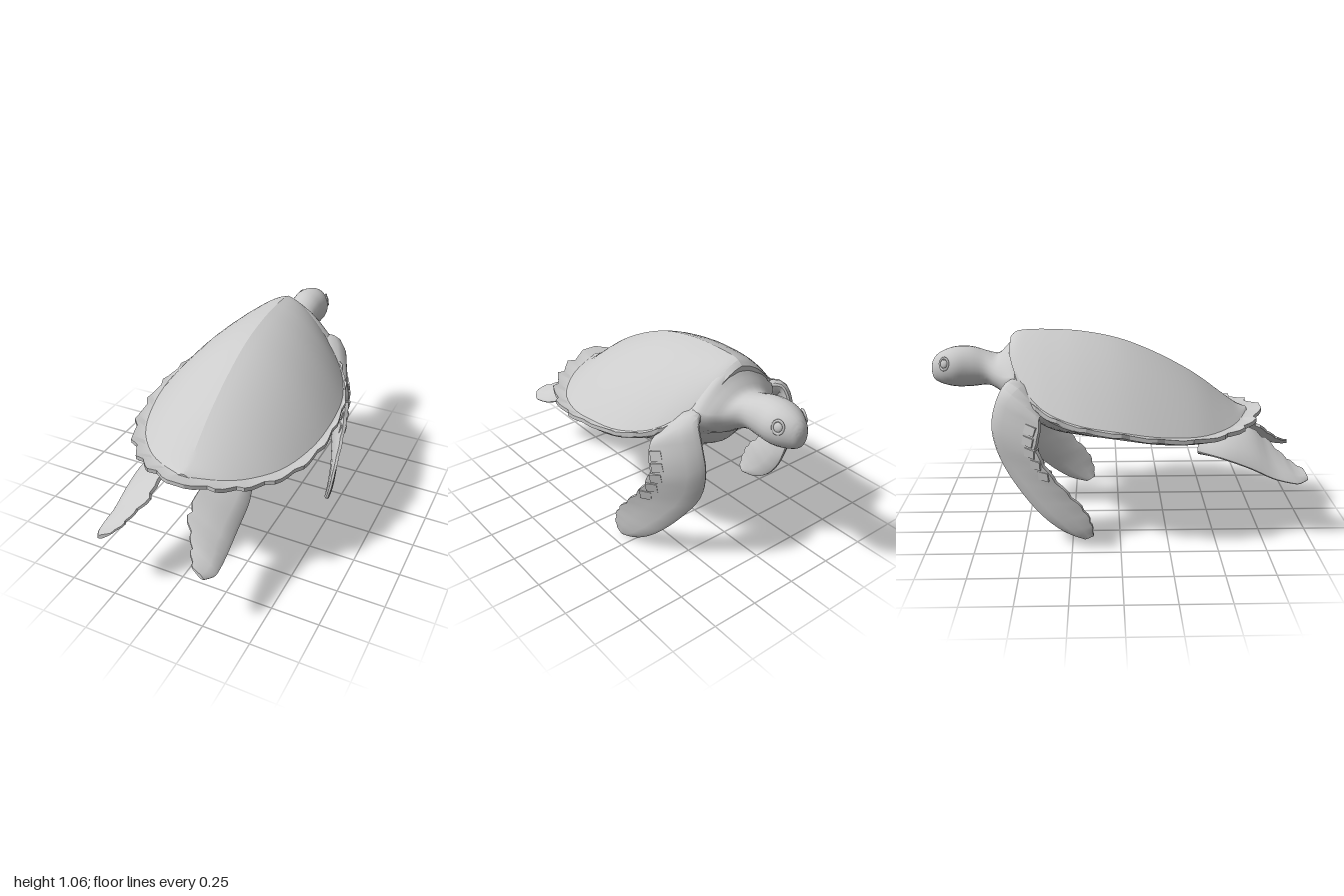
import * as THREE from 'three';
import { toCreasedNormals } from 'three/addons/utils/BufferGeometryUtils.js';

const material = new THREE.MeshStandardMaterial({ color: 0xcccccc });

// Smooth interpolation of rows of numbers into n + 1 rows
function sample(keys, n) {
  const last = keys.length - 1, at = i => keys[Math.max(0, Math.min(last, i))];
  return Array.from({ length: n + 1 }, (_, i) => {
    const t = (i / n) * last, k = Math.min(last - 1, Math.floor(t)), f = t - k;
    return keys[k].map((b, j) => {
      const a = at(k - 1)[j], c = at(k + 1)[j], d = at(k + 2)[j];
      return b + 0.5 * f * (c - a + f * (2 * a - 5 * b + 4 * c - d + f * (3 * (b - c) + d - a)));
    });
  });
}

// Closed skin over a row of rings, capped at both ends and turned outward
function loft(name, rings, crease = 0.6) {
  const m = rings[0].length, points = rings.flat(), index = [];
  const quad = (a, b, c, d) => index.push(a, b, c, a, c, d);
  for (let i = 0; i < rings.length - 1; i++)
    for (let j = 0; j < m; j++) {
      const k = (j + 1) % m;
      quad(i * m + j, i * m + k, (i + 1) * m + k, (i + 1) * m + j);
    }
  [0, rings.length - 1].forEach((r, end) => {
    const mid = new THREE.Vector3();
    rings[r].forEach(p => mid.addScaledVector(p, 1 / m));
    const c = points.push(mid) - 1;
    for (let j = 0; j < m; j++) {
      const a = r * m + j, b = r * m + (j + 1) % m;
      index.push(c, end ? a : b, end ? b : a);
    }
  });
  let volume = 0;
  const v = new THREE.Vector3();
  for (let i = 0; i < index.length; i += 3)
    volume += points[index[i]].dot(v.crossVectors(points[index[i + 1]], points[index[i + 2]]));
  if (volume < 0) index.reverse();
  const geometry = new THREE.BufferGeometry().setFromPoints(points);
  geometry.setIndex(index);
  const mesh = new THREE.Mesh(toCreasedNormals(geometry, crease), material);
  mesh.name = name;
  return mesh;
}

const V = (x, y, z) => new THREE.Vector3(x, y, z);
const across = Array.from({ length: 25 }, (_, i) => i / 12 - 1);

// z, half width, ridge height, edge height
const shellKeys = [
  [-0.57, 0.13, 1.025, 0.96], [-0.535, 0.22, 1.052, 0.88], [-0.46, 0.335, 1.06, 0.78],
  [-0.36, 0.42, 1.06, 0.715], [-0.2, 0.482, 1.05, 0.67], [0, 0.498, 1.01, 0.64],
  [0.2, 0.475, 0.93, 0.605], [0.4, 0.405, 0.82, 0.582], [0.55, 0.29, 0.71, 0.58],
  [0.64, 0.175, 0.645, 0.59], [0.695, 0.04, 0.625, 0.605]];

// z, half width, edge height, lowest height
const bellyKeys = [
  [-0.56, 0.16, 0.8, 0.7], [-0.48, 0.28, 0.76, 0.58], [-0.36, 0.4, 0.7, 0.51],
  [-0.2, 0.46, 0.66, 0.485], [0, 0.475, 0.63, 0.465], [0.2, 0.455, 0.6, 0.465],
  [0.4, 0.39, 0.575, 0.48], [0.55, 0.27, 0.575, 0.52], [0.66, 0.1, 0.6, 0.56]];

// z, half width, top, bottom, peak of the upper half (1 is round)
const headKeys = [
  [-0.42, 0.28, 0.92, 0.6, 2], [-0.53, 0.255, 1.025, 0.67, 2.4], [-0.59, 0.215, 0.975, 0.7, 1.8],
  [-0.64, 0.15, 0.928, 0.735, 1.2], [-0.7, 0.1, 0.938, 0.757, 1], [-0.78, 0.1, 0.963, 0.75, 1],
  [-0.86, 0.106, 0.965, 0.748, 1], [-0.92, 0.09, 0.95, 0.757, 1], [-0.965, 0.062, 0.925, 0.772, 1],
  [-0.99, 0.038, 0.895, 0.79, 1], [-1, 0.012, 0.865, 0.82, 1]];

// Leading edge xyz, trailing edge xyz, half thickness
const frontKeys = [
  [0.16, 0.84, -0.52, 0.2, 0.68, -0.36, 0.05], [0.27, 0.84, -0.58, 0.38, 0.69, -0.4, 0.045],
  [0.29, 0.72, -0.635, 0.42, 0.64, -0.4, 0.035], [0.28, 0.58, -0.655, 0.435, 0.53, -0.415, 0.03],
  [0.28, 0.42, -0.62, 0.45, 0.41, -0.36, 0.026], [0.33, 0.27, -0.53, 0.46, 0.29, -0.265, 0.024],
  [0.385, 0.13, -0.41, 0.465, 0.19, -0.18, 0.02], [0.415, 0.04, -0.29, 0.46, 0.1, -0.145, 0.018],
  [0.43, 0.005, -0.19, 0.445, 0.03, -0.14, 0.014]];
const hindKeys = [
  [0.24, 0.465, 0.42, 0.08, 0.5, 0.46, 0.03], [0.28, 0.44, 0.55, 0.075, 0.54, 0.6, 0.03],
  [0.29, 0.39, 0.69, 0.075, 0.535, 0.71, 0.026], [0.295, 0.335, 0.81, 0.075, 0.48, 0.8, 0.021],
  [0.3, 0.312, 0.9, 0.13, 0.415, 0.875, 0.017], [0.295, 0.305, 0.95, 0.16, 0.375, 0.93, 0.014],
  [0.265, 0.315, 1, 0.2, 0.35, 0.985, 0.011]];

// Lead point and blade directions of row i
function frame(rows, i, s) {
  const mid = r => V(s * (r[0] + r[3]) / 2, (r[1] + r[4]) / 2, (r[2] + r[5]) / 2);
  const r = rows[i], lead = V(s * r[0], r[1], r[2]), chord = V(s * r[3], r[4], r[5]).sub(lead);
  const span = mid(rows[Math.min(rows.length - 1, i + 1)]).sub(mid(rows[Math.max(0, i - 1)]));
  return { lead, chord, normal: chord.clone().cross(span).normalize() };
}

// Tapered blade between two edges, with a toothed trailing edge
function flipper(name, rows, s, tooth) {
  const profile = [[0, 0.15], [0.08, 0.65], [0.3, 1], [0.65, 0.75], [0.92, 0.5], [1, 0.35]];
  return loft(name, rows.map((r, i) => {
    const { lead, chord, normal } = frame(rows, i, s);
    const cut = i > rows.length * 0.3 && i % 3 === 0 ? 1 - tooth : 1;
    const side = d => profile.map(([c, h]) => lead.clone()
      .addScaledVector(chord, c * cut).addScaledVector(normal, d * h * r[6]));
    return [...side(1), ...side(-1).reverse()];
  }), 0.7);
}

export function createModel() {
  const model = new THREE.Group();
  model.name = 'turtle';

  // Ridged upper shell
  model.add(loft('upperShell', sample(shellKeys, 36).map(([z, w, top, edge]) =>
    across.map(u => V(u * w, edge + (top - edge) * (1 - 0.32 * Math.abs(u) - 0.68 * u * u), z))), 0.25));

  // Shallow belly
  model.add(loft('belly', sample(bellyKeys, 26).map(([z, w, edge, low]) =>
    across.map(u => V(u * w, low + (edge - low) * Math.abs(u) ** 1.5, z)))));

  // Toothed rim along the shell edge, widest at the tail
  const half = sample(shellKeys, 48).slice(5);
  const path = [...half.map(r => V(r[1], r[3], r[0])),
    ...half.slice().reverse().map(r => V(-r[1], r[3], r[0]))];
  const last = path.length - 1;
  model.add(loft('shellRim', path.map((p, i) => {
    const dir = path[Math.min(last, i + 1)].clone().sub(path[Math.max(0, i - 1)]);
    const out = V(-dir.z, 0, dir.x).normalize();
    if (out.x * p.x + out.z * p.z < 0) out.negate();
    const back = THREE.MathUtils.smoothstep(p.z, -0.3, 0.7);
    const step = Math.min(i, last - i) % 4;
    const reach = 0.008 + 0.055 * back + (step / 3 - 0.5) * (0.01 + 0.018 * back);
    const at = (d, y) => p.clone().addScaledVector(out, d).add(V(0, y, 0));
    const lift = 0.012 * back + (step === 3 ? 0.008 : 0);
    return [at(-0.04, 0.015), at(0, 0.008), at(reach, 0.006 + lift),
      at(reach, -0.016 + lift), at(0, -0.026), at(-0.05, -0.02)];
  }), 0.4));

  // Shoulders, neck and head in one skin
  model.add(loft('neckAndHead', sample(headKeys, 40).map(([z, w, top, low, peak]) =>
    Array.from({ length: 24 }, (_, i) => {
      const a = i / 24 * Math.PI * 2, h = Math.sin(a);
      return V(0.016 + w * Math.cos(a), (top + low) / 2 + (top - low) / 2 * (h > 0 ? h ** peak : h), z);
    })), 0.9));

  // Flat tail stub
  model.add(loft('tail', sample([[0.5, 0.07, 0.55], [0.62, 0.045, 0.565], [0.71, 0.012, 0.58]], 6)
    .map(([z, r, y]) => Array.from({ length: 8 }, (_, i) =>
      V(r * Math.cos(i * Math.PI / 4), y + 0.4 * r * Math.sin(i * Math.PI / 4), z)))));

  for (const s of [1, -1]) {
    const side = s > 0 ? 'left' : 'right';

    // Front flippers with scale plates, the right one held slightly higher
    const rows = sample(frontKeys, 32), front = new THREE.Group();
    front.name = side + 'FrontLimb';
    front.add(flipper(side + 'FrontFlipper', rows, s, 0.04));
    for (let i = 9; i <= 17; i += 2) {
      const { lead, chord, normal } = frame(rows, i, s);
      const plate = new THREE.Mesh(new THREE.BoxGeometry(0.06, 0.05, rows[i][6] * 1.5), material);
      plate.name = 'scalePlate';
      plate.position.copy(lead).addScaledVector(chord, 0.84);
      const along = chord.clone().normalize();
      plate.setRotationFromMatrix(new THREE.Matrix4()
        .makeBasis(along, normal.clone().cross(along), normal));
      front.add(plate);
    }
    if (s < 0) {
      front.scale.y = 0.945;
      front.position.y = 0.045;
    }
    model.add(front);

    // Hind flippers, the right one spread wider
    const hind = flipper(side + 'HindFlipper', sample(hindKeys, 20), s, 0.08);
    if (s < 0) hind.position.set(-0.065, 0.01, -0.02);
    model.add(hind);

    // Eyes with lids
    const eye = new THREE.Group();
    eye.name = side + 'Eye';
    const ball = new THREE.Mesh(new THREE.SphereGeometry(0.022, 12, 8), material);
    ball.name = 'eyeball';
    ball.scale.z = 0.4;
    const lid = new THREE.Mesh(new THREE.TorusGeometry(0.026, 0.006, 6, 16), material);
    lid.name = 'eyelid';
    lid.scale.y = 1.2;
    eye.add(ball, lid);
    eye.position.set(0.016 + s * 0.083, 0.89, -0.92);
    eye.rotation.set(-0.25, s * 2.0, 0, 'YXZ');
    model.add(eye);
  }

  // Beak line
  const lip = new THREE.CatmullRomCurve3([V(0.1, 0.81, -0.87), V(0.08, 0.803, -0.93),
    V(0.016, 0.805, -0.99), V(-0.048, 0.803, -0.93), V(-0.068, 0.81, -0.87)]);
  const mouth = new THREE.Mesh(new THREE.TubeGeometry(lip, 24, 0.006, 6), material);
  mouth.name = 'mouth';
  model.add(mouth);

  return model;
}
